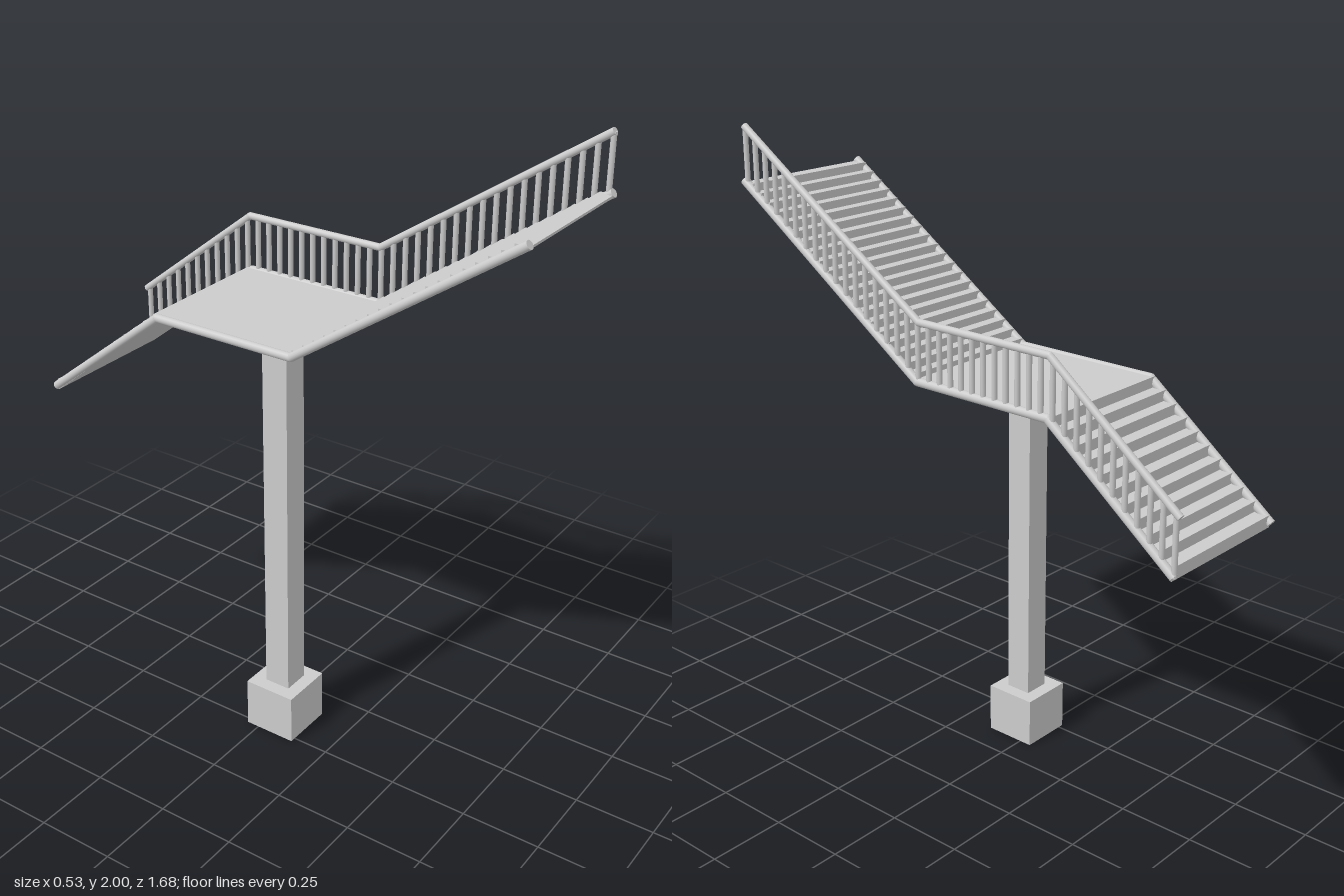
import * as THREE from 'three';

const grey = new THREE.MeshStandardMaterial({ color: 0xcccccc });

// Side-on paths as [z, y]
const stringerPath = [[0.83, 1.82], [0.106, 1.324], [-0.385, 1.324], [-0.822, 0.98]];
const railPath = [[0.818, 1.988], [0.097, 1.505], [-0.39, 1.505], [-0.835, 1.155]];

function add(parent, geometry, name, x = 0, y = 0, z = 0) {
  const mesh = new THREE.Mesh(geometry, grey);
  mesh.name = name;
  mesh.position.set(x, y, z);
  parent.add(mesh);
  return mesh;
}

// Round bar following a path, with ball joints at the bends
function bar(path, x, radius, name) {
  const group = new THREE.Group();
  group.name = name;
  const points = path.map(([z, y]) => new THREE.Vector3(x, y, z));
  for (let i = 0; i < points.length - 1; i++) {
    const a = points[i], b = points[i + 1];
    const dir = b.clone().sub(a);
    const length = dir.length();
    const mid = a.clone().lerp(b, 0.5);
    const piece = add(group, new THREE.CylinderGeometry(radius, radius, length, 16), name + 'Segment', mid.x, mid.y, mid.z);
    piece.quaternion.setFromUnitVectors(new THREE.Vector3(0, 1, 0), dir.normalize());
    if (i > 0) add(group, new THREE.SphereGeometry(radius, 16, 10), name + 'Joint', a.x, a.y, a.z);
  }
  return group;
}

// One solid with a smooth folded underside, stepped flights and a flat landing
function stairGeometry(xMin, xMax) {
  const landingY = 1.332;
  const shape = new THREE.Shape();
  shape.moveTo(0.832, 1.808);
  shape.lineTo(0.11, 1.311);
  shape.lineTo(-0.383, 1.311);
  shape.lineTo(-0.815, 0.967);

  // lower flight, climbing to the landing
  const lowSteps = 10, lowRun = 0.041, lowRise = 0.0327;
  for (let i = lowSteps; i > 0; i--) {
    const z = -0.4 - lowRun * i, y = landingY - lowRise * i;
    if (i === lowSteps) shape.lineTo(-0.815, y);
    shape.lineTo(z, y);
    shape.lineTo(z + lowRun, y);
  }
  shape.lineTo(-0.4, landingY);

  // upper flight, climbing from the landing
  const upSteps = 20, upRun = 0.0357, upRise = 0.0246;
  for (let i = 0; i < upSteps; i++) {
    const z = 0.11 + upRun * i, y = landingY + 0.016 + upRise * i;
    shape.lineTo(z, i === 0 ? landingY : y - upRise);
    shape.lineTo(z, y);
  }
  shape.lineTo(0.832, landingY + 0.016 + upRise * (upSteps - 1));

  const geometry = new THREE.ExtrudeGeometry(shape, { depth: xMax - xMin, bevelEnabled: false });
  geometry.rotateY(-Math.PI / 2); // shape x -> z, depth -> -x
  geometry.translate(xMax, 0, 0);
  return geometry;
}

// Height of a path at a given z
function heightAt(path, z) {
  let i = 0;
  while (i < path.length - 2 && z < path[i + 1][0]) i++;
  const [z0, y0] = path[i], [z1, y1] = path[i + 1];
  return y0 + (y1 - y0) * (z - z0) / (z1 - z0);
}

export function createModel() {
  const model = new THREE.Group();
  model.name = 'staircase';

  // footing and column
  add(model, new THREE.BoxGeometry(0.172, 0.162, 0.172), 'footing', -0.182, 0.081, 0.045);
  add(model, new THREE.BoxGeometry(0.086, 1.16, 0.086), 'column', -0.182, 0.74, 0.046);

  // flights and landing
  add(model, stairGeometry(-0.229, 0.252), 'stepsAndLanding');

  // edge bars on both sides, handrail on the left only
  model.add(bar(stringerPath, -0.228, 0.0135, 'rightStringer'));
  model.add(bar(stringerPath, 0.25, 0.0135, 'leftStringer'));
  model.add(bar(railPath, 0.25, 0.0115, 'handrail'));

  // upright balusters between left edge bar and handrail
  const balusters = new THREE.Group();
  balusters.name = 'balusters';
  const count = 40, zStart = 0.815, zEnd = -0.822;
  for (let i = 0; i < count; i++) {
    const z = zStart + (zEnd - zStart) * i / (count - 1);
    const low = heightAt(stringerPath, z), high = heightAt(railPath, z);
    add(balusters, new THREE.CylinderGeometry(0.0085, 0.0085, high - low, 10), 'baluster', 0.25, (low + high) / 2, z);
  }
  model.add(balusters);

  return model;
}
